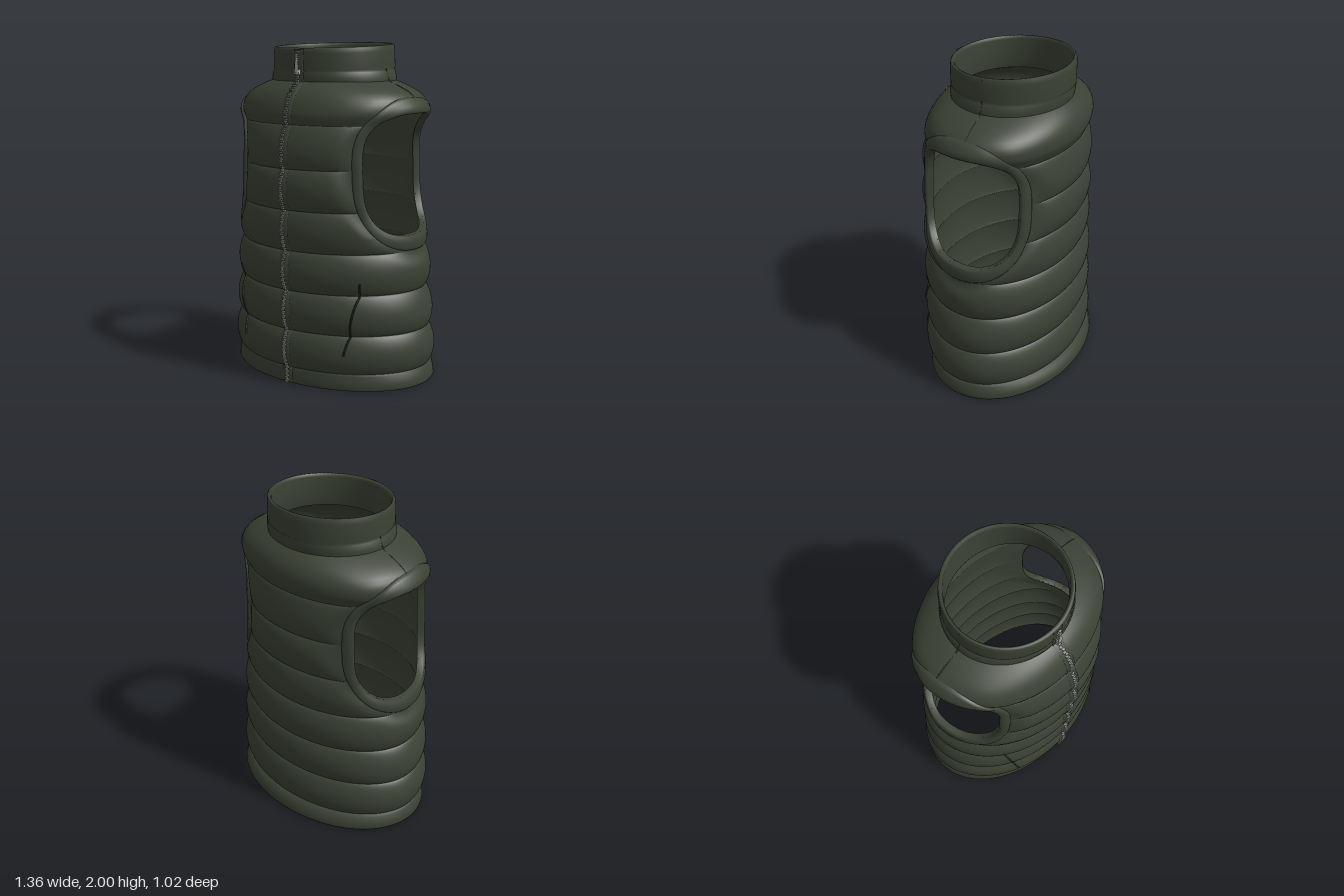
import * as THREE from 'three';
import { mergeGeometries, mergeVertices } from 'three/addons/utils/BufferGeometryUtils.js';

const CZ = -0.03; // depth of the side seams
const SEAMS = [0.1, 0.33, 0.57, 0.81, 1.05, 1.29, 1.54, 1.78];
// body outline: height -> half width, front depth, back depth
const OUTLINE = [
  [0.1, 0.645, 0.44, 0.455], [0.33, 0.635, 0.44, 0.44], [0.57, 0.61, 0.445, 0.44],
  [0.81, 0.6, 0.45, 0.435], [1.05, 0.59, 0.46, 0.435], [1.29, 0.575, 0.465, 0.44],
  [1.54, 0.585, 0.435, 0.43], [1.6, 0.605, 0.43, 0.445], [1.66, 0.59, 0.41, 0.445],
  [1.71, 0.54, 0.385, 0.43], [1.75, 0.46, 0.355, 0.405], [1.78, 0.385, 0.322, 0.375],
];
const HOLE = { y: 1.255, h: 0.35, w: 0.3, n: 3.2 };
const spline = new THREE.CubicInterpolant(OUTLINE.map(r => r[0]), OUTLINE.flatMap(r => r.slice(1)), 3);

function section(y) {
  const [a, f, b] = spline.evaluate(THREE.MathUtils.clamp(y, 0.1, 1.78));
  return { a, f: f - CZ, b: b + CZ };
}

// quilted bulge between two seams
function puff(y) {
  for (let i = 0; i < SEAMS.length - 1; i++) {
    if (y > SEAMS[i] && y < SEAMS[i + 1]) {
      const u = (y - SEAMS[i]) / (SEAMS[i + 1] - SEAMS[i]);
      return (i === 6 ? 0.014 : i > 2 ? 0.031 : 0.037) * Math.pow(Math.sin(Math.PI * u), 0.65);
    }
  }
  return 0;
}

// point on the body at angle t, flattened toward the armholes
function bodyPoint(t, y, offset = 0, puffScale = 1) {
  const { a, f, b } = section(y), s = Math.sin(t), c = Math.cos(t);
  const depth = s > 0 ? f : b;
  const d = Math.hypot((CZ + depth * s) / 0.34, (y - HOLE.y) / 0.45);
  const p = puff(y) * puffScale * THREE.MathUtils.smoothstep(d, 0.97, 1.2) + offset;
  return new THREE.Vector3((a + p) * c, y, CZ + (depth + p) * s);
}

function angleAt(z, y) {
  const { f, b } = section(y);
  return Math.asin(THREE.MathUtils.clamp((z - CZ) / (z > CZ ? f : b), -1, 1));
}

function holeHalfWidth(y) {
  const v = Math.abs(y - HOLE.y) / HOLE.h;
  return v >= 1 ? 0 : HOLE.w * Math.pow(1 - Math.pow(v, HOLE.n), 1 / HOLE.n);
}

// smooth surface from a rule over a rows x columns grid
function grid(rows, cols, fn) {
  const pos = [], idx = [];
  for (let i = 0; i <= rows; i++) for (let j = 0; j <= cols; j++) pos.push(...fn(i, j).toArray());
  for (let i = 0; i < rows; i++) for (let j = 0; j < cols; j++) {
    const k = i * (cols + 1) + j, m = k + cols + 1;
    idx.push(k, m, k + 1, k + 1, m, m + 1);
  }
  let g = new THREE.BufferGeometry();
  g.setAttribute('position', new THREE.Float32BufferAttribute(pos, 3));
  g.setIndex(idx);
  g = mergeVertices(g, 1e-5);
  g.computeVertexNormals();
  return g;
}

// closed band from rows of [half width, front, back, height]
function band(rows, tilt = 0) {
  return grid(rows.length - 1, 96, (i, j) => {
    const [a, f, b, y] = rows[i], t = ((j % 96) / 96) * Math.PI * 2, s = Math.sin(t);
    const z = CZ + (s > 0 ? f - CZ : b + CZ) * s;
    return new THREE.Vector3(a * Math.cos(t), y - tilt * z * Math.max(0, (y - 1.78) / 0.2), z);
  });
}

// row heights, dense at each seam and at the armhole ends
function rowHeights() {
  const ys = [];
  for (let i = 0; i < SEAMS.length - 1; i++)
    for (let k = 0; k < 18; k++)
      ys.push(SEAMS[i] + (SEAMS[i + 1] - SEAMS[i]) * (0.5 - 0.5 * Math.cos(Math.PI * k / 18)));
  ys.push(1.78);
  for (const e of [-1, 1]) for (const d of [-0.0003, 0.0003, 0.002, 0.006, 0.013])
    ys.push(HOLE.y + e * (HOLE.h - d));
  return ys.sort((p, q) => p - q);
}

function panel(ys, front, offset, puffScale) {
  return grid(ys.length - 1, 72, (i, j) => {
    const y = ys[i], w = holeHalfWidth(y), e = angleAt(front ? w : -w, y);
    const start = front ? e : Math.PI - e, end = front ? Math.PI - e : Math.PI * 2 + e;
    return bodyPoint(start + (end - start) * j / 72, y, offset, puffScale);
  });
}

// raised binding around an armhole
function armholeTrim(side) {
  const steps = [[0, -0.03], [0, 0.006], [0.12, 0.017], [0.5, 0.02], [0.9, 0.016], [1, 0.008], [1.02, -0.008]];
  const N = 96, pw = (v, n) => Math.sign(v) * Math.pow(Math.abs(v), 2 / n);
  return grid(steps.length - 1, N, (i, j) => {
    const [k, off] = steps[i], t = ((j % N) / N) * Math.PI * 2;
    const n = HOLE.n - 0.6 * k;
    const z = (HOLE.w + 0.04 * k) * pw(Math.cos(t), n);
    const y = HOLE.y + (HOLE.h + 0.09 * k) * pw(Math.sin(t), n);
    const p = bodyPoint(angleAt(z, y), y, off);
    p.x *= side;
    return p;
  });
}

// depth of the front centre line
function frontZ(y) {
  if (y < 0.1) return 0.447;
  return y > 1.78 ? 0.325 : bodyPoint(Math.PI / 2, y).z;
}

export function createModel() {
  const model = new THREE.Group();
  const fabric = new THREE.MeshStandardMaterial({ color: 0x3b4234, side: THREE.DoubleSide });
  const stitch = new THREE.MeshStandardMaterial({ color: 0x20251c });
  const metal = new THREE.MeshStandardMaterial({ color: 0x9a9a96 });
  const add = (name, geometry, material) => {
    const m = new THREE.Mesh(geometry, material);
    m.name = name;
    model.add(m);
    return m;
  };

  // quilted shell and lining
  const ys = rowHeights();
  add('frontPanel', panel(ys, true, 0, 1), fabric);
  add('backPanel', panel(ys, false, 0, 1), fabric);
  add('frontLining', panel(ys, true, -0.022, 0.4), fabric);
  add('backLining', panel(ys, false, -0.022, 0.4), fabric);

  // hem and stand collar
  add('hem', band([[0.64, 0.437, 0.452, 0.102], [0.66, 0.444, 0.488, 0.088], [0.669, 0.447, 0.502, 0.04],
    [0.672, 0.447, 0.506, 0.012], [0.666, 0.442, 0.5, 0.001], [0.652, 0.428, 0.485, 0.003],
    [0.645, 0.42, 0.475, 0.03], [0.622, 0.416, 0.432, 0.104]]), fabric);
  add('collar', band([[0.385, 0.32, 0.375, 1.772], [0.386, 0.325, 0.381, 1.8], [0.374, 0.324, 0.386, 1.835],
    [0.365, 0.318, 0.38, 1.842], [0.371, 0.324, 0.388, 1.85], [0.367, 0.325, 0.388, 1.95],
    [0.362, 0.323, 0.386, 1.976], [0.356, 0.316, 0.378, 1.984], [0.348, 0.304, 0.368, 1.982],
    [0.342, 0.295, 0.362, 1.965], [0.342, 0.292, 0.36, 1.845], [0.36, 0.298, 0.353, 1.775]], 0.04), fabric);

  for (const side of [1, -1]) {
    const label = side > 0 ? 'left' : 'right';
    add(label + 'ArmholeTrim', armholeTrim(side), fabric);

    // slanted pocket opening
    const pocket = [];
    for (let i = 0; i <= 24; i++) {
      const y = 0.65 - 0.43 * i / 24, x = 0.44 - 0.075 * i / 24;
      const p = bodyPoint(Math.acos(x / (section(y).a + puff(y))), y, 0.001);
      pocket.push(new THREE.Vector3(p.x * side, p.y, p.z));
    }
    add(label + 'Pocket', new THREE.TubeGeometry(new THREE.CatmullRomCurve3(pocket), 60, 0.006, 6), stitch);

    // shoulder and collar side seam
    const seam = [1.69, 1.72, 1.75, 1.775].map(y => bodyPoint(0, y, 0));
    seam.push(new THREE.Vector3(0.385, 1.8, CZ), new THREE.Vector3(0.37, 1.85, CZ), new THREE.Vector3(0.361, 1.975, CZ));
    seam.forEach(p => { p.x *= side; });
    add(label + 'ShoulderSeam', new THREE.TubeGeometry(new THREE.CatmullRomCurve3(seam), 40, 0.003, 6), fabric);
  }

  // zip placket following the quilted front
  const zipYs = [0.004, 0.05, 0.098, ...ys.filter(y => y > 0.1), 1.8, 1.9, 1.965];
  const strip = [[-0.034, -0.006], [-0.03, 0.004], [0, 0.006], [0.03, 0.004], [0.034, -0.006]];
  add('zipPlacket', grid(zipYs.length - 1, 4, (i, j) =>
    new THREE.Vector3(strip[j][0], zipYs[i], frontZ(zipYs[i]) + strip[j][1])), fabric);

  // interlocking zip teeth
  const teeth = [];
  for (let i = 0, y = 0.01; y < 1.95; i++, y += 0.0125) {
    const tooth = new THREE.BoxGeometry(0.017, 0.0085, 0.016);
    tooth.translate(i % 2 ? 0.003 : -0.003, y, frontZ(y) + 0.009);
    teeth.push(tooth);
  }
  add('zipTeeth', mergeGeometries(teeth), metal);

  // slider and tapered pull tab
  const slider = new THREE.BoxGeometry(0.034, 0.03, 0.02);
  slider.translate(0, 1.835, 0.336);
  add('zipSlider', slider, metal);
  const pull = new THREE.CylinderGeometry(0.007, 0.017, 0.1, 12);
  pull.scale(1, 1, 0.4);
  pull.translate(0, 1.88, 0.346);
  add('zipPull', pull, metal);

  return model;
}
